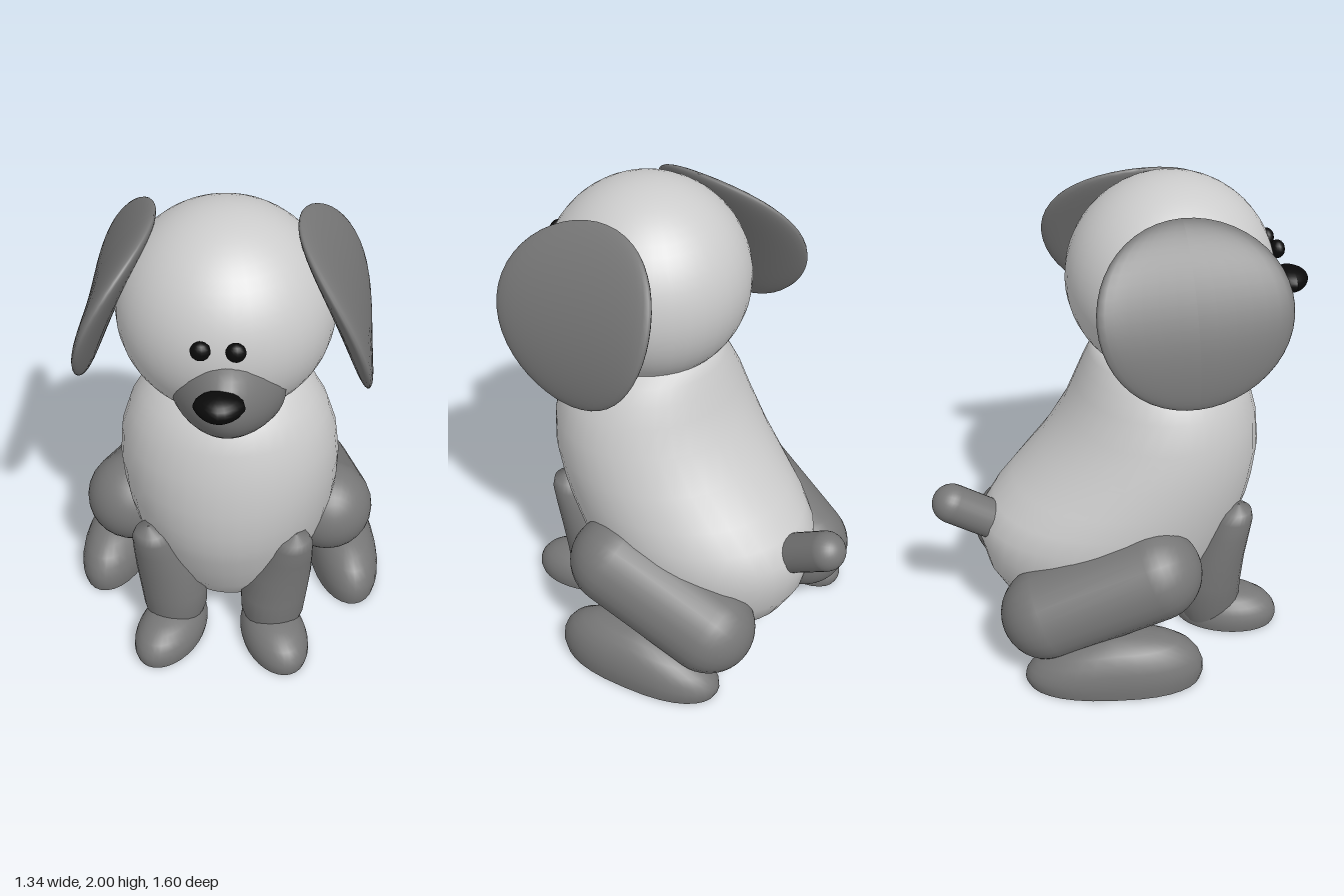
import * as THREE from 'three';
import { toCreasedNormals } from 'three/addons/utils/BufferGeometryUtils.js';

const light = new THREE.MeshStandardMaterial({ color: 0xcccccc });
const dark = new THREE.MeshStandardMaterial({ color: 0x777777 });
const black = new THREE.MeshStandardMaterial({ color: 0x0a0a0a });

// Smooth skin over elliptical rings { x, y, z, rx, rz }, listed from bottom to top
function loft(rings, sides = 32) {
  const pos = [], index = [];
  rings.forEach((r, i) => {
    for (let j = 0; j < sides; j++) {
      const a = (j / sides) * Math.PI * 2;
      pos.push(r.x + r.rx * Math.cos(a), r.y, r.z + r.rz * Math.sin(a));
      if (i === rings.length - 1) continue;
      const k = (j + 1) % sides, p = i * sides, q = p + sides;
      index.push(p + j, q + j, p + k, p + k, q + j, q + k);
    }
  });
  const g = new THREE.BufferGeometry();
  g.setAttribute('position', new THREE.Float32BufferAttribute(pos, 3));
  g.setIndex(index);
  g.computeVertexNormals();
  return g;
}

// Ellipsoid, optionally narrowing towards its front
function ellipsoid(rx, ry, rz, w = 32, h = 20, taper = 0) {
  const g = new THREE.SphereGeometry(1, w, h), p = g.attributes.position;
  for (let i = 0; i < p.count; i++) p.setX(i, p.getX(i) * (1 - taper * Math.max(0, p.getZ(i))));
  g.scale(rx, ry, rz);
  if (taper) g.computeVertexNormals();
  return g;
}

// Capsule between two end centres
function capsule(a, b, r) {
  const dir = b.clone().sub(a), len = dir.length();
  const g = new THREE.CapsuleGeometry(r, len, 10, 24);
  g.applyQuaternion(new THREE.Quaternion().setFromUnitVectors(new THREE.Vector3(0, 1, 0), dir.normalize()));
  const m = a.clone().add(b).multiplyScalar(0.5);
  return g.translate(m.x, m.y, m.z);
}

// Domed foot with a flat sole; blunt < 1 squares off its ends, heelDrop lowers the back
function pawShape(rx, h, rz, blunt = 1, heelDrop = 0) {
  const profile = [[0, 0], [0.96, 0], [1, 0.18], [0.99, 0.36], [0.94, 0.53], [0.84, 0.7],
    [0.68, 0.84], [0.48, 0.94], [0.24, 0.985], [0, 1]].map(([x, y]) => new THREE.Vector2(x, y));
  const g = new THREE.LatheGeometry(profile, 32), p = g.attributes.position;
  for (let i = 0; i < p.count; i++) {
    const z = p.getZ(i);
    p.setY(i, p.getY(i) * (1 + heelDrop * Math.min(0, z)));
    p.setZ(i, Math.sign(z) * Math.abs(z) ** blunt);
  }
  return toCreasedNormals(g.scale(rx, h, rz), 0.9);
}

// Oval ear, bowed outward along its length with flared front and back edges
function earShape(s) {
  const g = new THREE.SphereGeometry(1, 32, 24), p = g.attributes.position;
  for (let i = 0; i < p.count; i++) {
    const u = p.getY(i), w = p.getZ(i);
    const bow = 0.045 * (1 - u * u + w * w);
    p.setXYZ(i, s * bow + 0.055 * p.getX(i), u * 0.354, w * 0.375);
  }
  g.computeVertexNormals();
  return g;
}

export function createModel() {
  const model = new THREE.Group();
  const V = (x, y, z) => new THREE.Vector3(x, y, z);
  const add = (name, geo, mat, x = 0, y = 0, z = 0) => {
    const m = new THREE.Mesh(geo, mat);
    m.name = name;
    m.position.set(x, y, z);
    model.add(m);
    return m;
  };

  // Body: height, front z, back z, half width
  const body = [
    [0.03, -0.04, -0.06, 0.005], [0.045, 0.1, -0.22, 0.13], [0.1, 0.24, -0.39, 0.24],
    [0.2, 0.36, -0.51, 0.33], [0.32, 0.44, -0.575, 0.39], [0.45, 0.5, -0.605, 0.425],
    [0.55, 0.54, -0.595, 0.44], [0.63, 0.565, -0.54, 0.447], [0.72, 0.58, -0.455, 0.45],
    [0.85, 0.59, -0.33, 0.448], [1.0, 0.573, -0.225, 0.432], [1.12, 0.54, -0.175, 0.395],
    [1.2, 0.505, -0.145, 0.35], [1.26, 0.455, -0.12, 0.305], [1.31, 0.4, -0.095, 0.25], [1.36, 0.25, 0.05, 0.1],
  ].map(([y, f, b, rx]) => ({ x: 0, y, z: (f + b) / 2, rx, rz: (f - b) / 2 }));
  add('body', loft(body, 40), light);

  // Head and face
  add('head', ellipsoid(0.415, 0.41, 0.415, 40, 28), light, -0.01, 1.59, 0.205);
  add('muzzle', ellipsoid(0.212, 0.182, 0.24, 32, 20, 0.35), dark, 0.02, 1.42, 0.492).rotation.x = -0.35;
  add('nose', ellipsoid(0.093, 0.05, 0.075, 16, 12, 0.25), black, 0.005, 1.505, 0.723);

  // Tail
  add('tail', capsule(V(-0.01, 0.48, -0.46), V(-0.01, 0.65, -0.72), 0.083), dark);

  for (const s of [1, -1]) {
    const side = s > 0 ? 'left' : 'right';
    const x = (v) => s * v - 0.01;

    add(side + 'Eye', ellipsoid(0.037, 0.037, 0.03, 14, 10), black, s * 0.062 - 0.005, 1.675, 0.63);
    add(side + 'Ear', earShape(s), dark, x(0.405), 1.61, 0.165).rotation.z = s * 0.406;

    // Front leg: height, centre x, centre z, half width, half depth
    const leg = [
      [0.03, 0.21, 0.35, 0.1, 0.11], [0.14, 0.21, 0.345, 0.135, 0.14], [0.25, 0.215, 0.35, 0.142, 0.137],
      [0.38, 0.24, 0.37, 0.128, 0.118], [0.5, 0.268, 0.4, 0.103, 0.096], [0.58, 0.285, 0.42, 0.086, 0.082],
      [0.62, 0.292, 0.43, 0.065, 0.063], [0.645, 0.3, 0.437, 0.003, 0.003],
    ].map(([y, cx, z, rx, rz]) => ({ x: x(cx), y, z, rx, rz }));
    add(side + 'FrontLeg', loft(leg, 24), dark);
    add(side + 'FrontPaw', pawShape(0.135, 0.155, 0.222), dark, x(0.222), 0.005, 0.428).rotation.y = s * 0.38;

    add(side + 'Thigh', capsule(V(x(0.425), 0.455, 0.04), V(x(0.34), 0.275, -0.393), 0.195), dark);
    add(side + 'HindFoot', pawShape(0.152, 0.235, 0.37, 0.8, 0.4), dark, x(0.5), 0.005, -0.15).rotation.y = s * 0.2;
  }
  return model;
}
